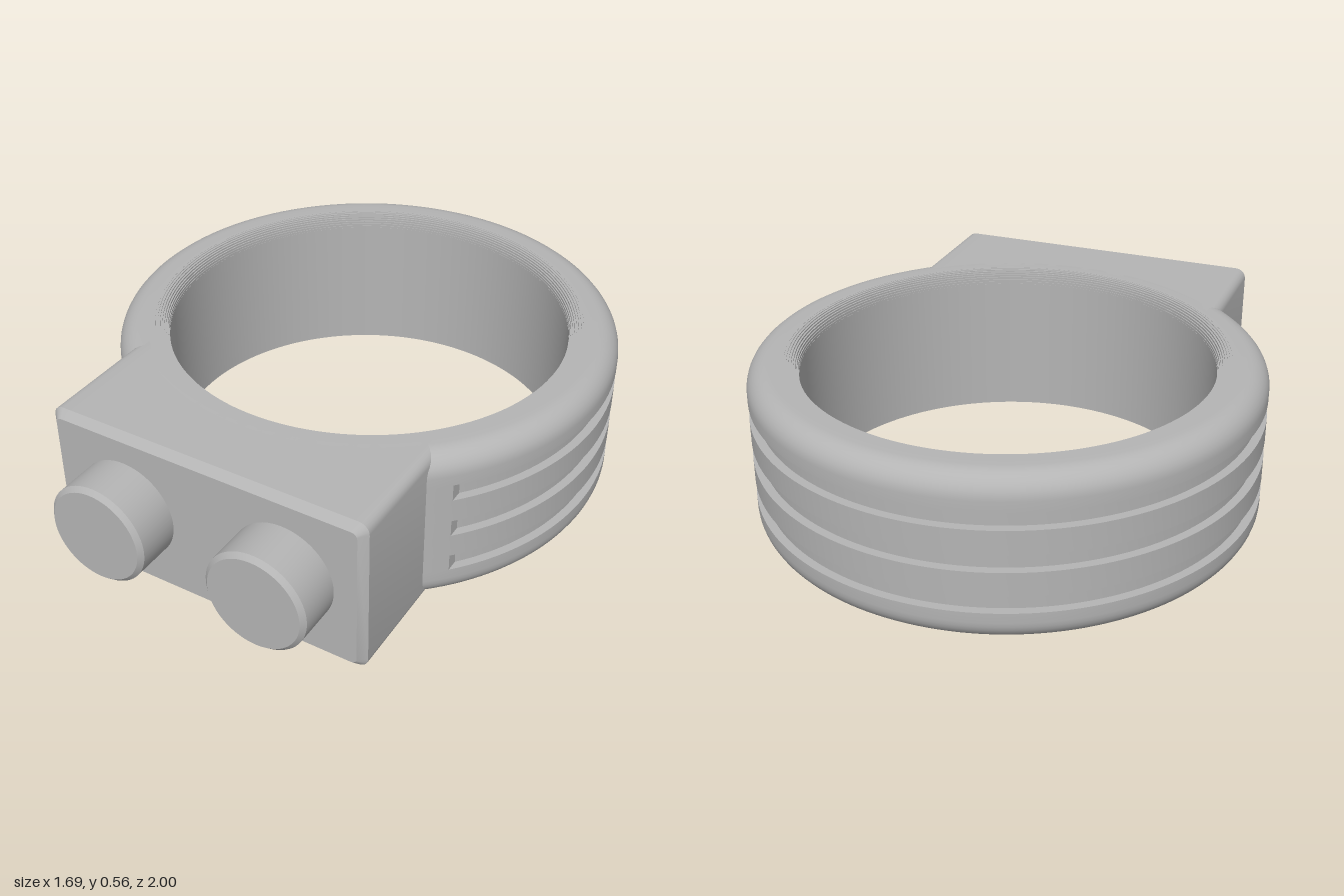
import * as THREE from 'three';
import { toCreasedNormals } from 'three/addons/utils/BufferGeometryUtils.js';

const H = 0.555, CZ = -0.155, MID = H / 2;
const R_IN = 0.677, R_OUT = 0.845, R_GROOVE = 0.817;
const GROOVE_END = 0.62, GROOVE_H = 0.058, GROOVES = [MID - 0.139, MID, MID + 0.139];

const V = (x, y) => new THREE.Vector2(x, y);

// Closed ring profile: rounded, grooved outside and finely stepped inner rims
function ringProfile() {
  const f = 0.075, s = 0.055, steps = 10, pts = [];
  const rim = [];
  for (let i = 0; i < steps; i++) {
    const a = (i / steps) * Math.PI / 2, b = ((i + 1) / steps) * Math.PI / 2;
    const y = H - s + s * Math.cos(a);
    rim.push(V(R_IN + s - s * Math.sin(a), y), V(R_IN + s - s * Math.sin(b), y));
  }
  const bottomRim = rim.map(p => V(p.x, H - p.y)).reverse();
  for (let i = 0; i <= 8; i++) {
    const a = (i / 8) * Math.PI / 2;
    pts.push(V(R_OUT - f + f * Math.sin(a), f - f * Math.cos(a)));
  }
  for (const g of GROOVES) {
    const lo = g - GROOVE_H / 2, hi = g + GROOVE_H / 2;
    pts.push(V(R_OUT, lo), V(R_GROOVE, lo), V(R_GROOVE, hi), V(R_OUT, hi));
  }
  for (let i = 0; i <= 8; i++) {
    const a = (i / 8) * Math.PI / 2;
    pts.push(V(R_OUT - f + f * Math.cos(a), H - f + f * Math.sin(a)));
  }
  pts.push(...rim, ...bottomRim, pts[0].clone());
  return pts;
}

// Rounded rectangle, counter-clockwise, with its long edges subdivided
function outline(w, h, r) {
  const pts = [], n = 32;
  const corner = (cx, cy, start) => {
    for (let i = 0; i <= 5; i++) {
      const a = start + (i / 5) * Math.PI / 2;
      pts.push(V(cx + r * Math.cos(a), cy + r * Math.sin(a)));
    }
  };
  const edge = (from, to, y) => {
    for (let i = 1; i < n; i++) pts.push(V(from + (to - from) * i / n, y));
  };
  corner(w - r, h - r, 0);
  edge(w - r, r - w, h);
  corner(r - w, h - r, Math.PI / 2);
  corner(r - w, r - h, Math.PI);
  edge(r - w, w - r, -h);
  corner(w - r, r - h, Math.PI * 1.5);
  return pts;
}

// Block with chamfered front; its back end follows the ring
function blockGeometry() {
  const back = outline(0.56, MID, 0.035), front = outline(0.535, MID - 0.025, 0.02);
  const n = back.length;
  const loops = [
    back.map(p => [p.x, p.y, CZ + Math.sqrt(0.75 ** 2 - p.x ** 2)]),
    back.map(p => [p.x, p.y, 0.815]),
    front.map(p => [p.x, p.y, 0.84]),
  ];
  const index = [];
  for (let k = 0; k < 2; k++) {
    for (let i = 0; i < n; i++) {
      const j = (i + 1) % n, a = k * n, b = a + n;
      index.push(a + i, a + j, b + j, a + i, b + j, b + i);
    }
  }
  for (let i = 0; i < n; i++) index.push(2 * n + i, 2 * n + (i + 1) % n, 3 * n);
  const geo = new THREE.BufferGeometry();
  geo.setAttribute('position', new THREE.Float32BufferAttribute([...loops.flat(2), 0, 0, 0.84], 3));
  geo.setIndex(index);
  return toCreasedNormals(geo, 0.5);
}

export function createModel() {
  const model = new THREE.Group();
  const grey = new THREE.MeshStandardMaterial({ color: 0xb4b4b4 });
  grey.name = 'plain grey';
  const add = (name, geo, x, y, z, parent = model) => {
    const mesh = new THREE.Mesh(geo, grey);
    mesh.name = name;
    mesh.position.set(x, y, z);
    parent.add(mesh);
    return mesh;
  };

  // Ring band
  add('ring', toCreasedNormals(new THREE.LatheGeometry(ringProfile(), 160), 0.5), 0, 0, CZ);

  // Grooves stop short of the block: close them across the front
  const stops = new THREE.Group();
  stops.name = 'grooveStops';
  model.add(stops);
  const angle = Math.asin(GROOVE_END / R_OUT);
  const zOut = Math.sqrt(R_OUT ** 2 - GROOVE_END ** 2);
  const zIn = Math.sqrt(R_GROOVE ** 2 - GROOVE_END ** 2);
  for (const y of GROOVES) {
    add('grooveFill', new THREE.CylinderGeometry(R_OUT, R_OUT, GROOVE_H, 42, 1, true, -angle, 2 * angle), 0, y, CZ, stops);
    for (const side of [-1, 1]) {
      const end = add('grooveEnd', new THREE.PlaneGeometry(zOut - zIn, GROOVE_H),
        side * GROOVE_END, y, CZ + (zOut + zIn) / 2, stops);
      end.rotation.y = side * Math.PI / 2;
    }
  }

  // Front block
  add('frontBlock', blockGeometry(), 0, MID, 0);

  // Two round studs with chamfered rims
  const stud = toCreasedNormals(new THREE.LatheGeometry(
    [V(0.173, 0), V(0.173, 0.155), V(0.158, 0.17), V(0, 0.17)], 64), 0.5);
  stud.rotateX(Math.PI / 2);
  add('leftStud', stud, 0.285, MID, 0.83);
  add('rightStud', stud, -0.285, MID, 0.83);

  return model;
}
